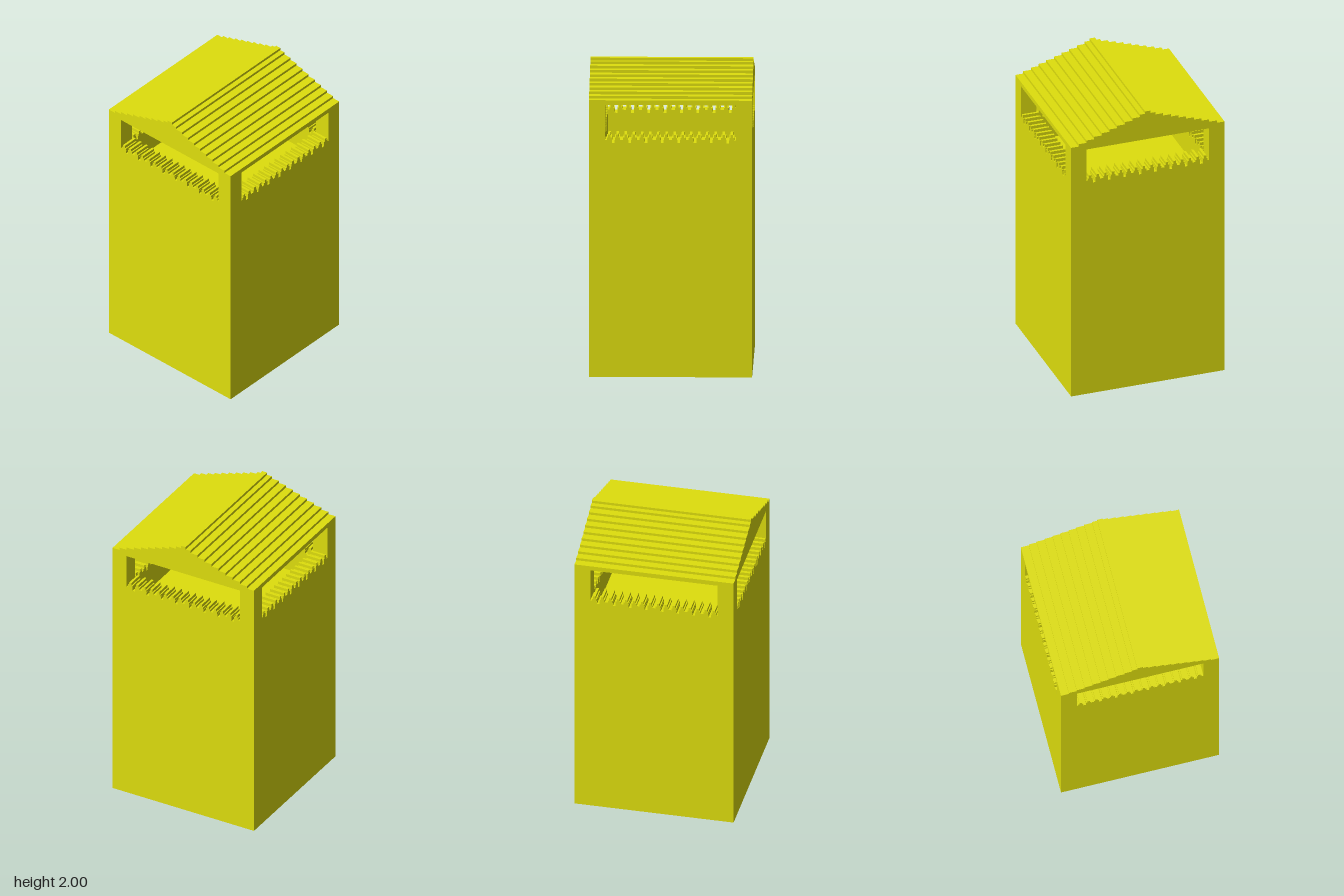
import * as THREE from 'three';

const HALF = 0.527;        // half width of the tower
const INNER = 0.422;       // half width of the lookout room
const WALL = HALF - INNER; // wall and post thickness
const FLOOR = 1.385, SILL = 1.565, CEILING = 1.795;

const material = new THREE.MeshStandardMaterial({ color: 0xdfdf0d, flatShading: true });

function addMesh(parent, name, geometry, x = 0, y = 0, z = 0) {
  const mesh = new THREE.Mesh(geometry, material);
  mesh.name = name;
  mesh.position.set(x, y, z);
  parent.add(mesh);
  return mesh;
}

function extrude(points, depth) {
  const shape = new THREE.Shape(points.map(([x, y]) => new THREE.Vector2(x, y)));
  const geometry = new THREE.ExtrudeGeometry(shape, { depth, bevelEnabled: false });
  return geometry.translate(0, 0, -depth / 2);
}

// Parapet with a rough top: narrow spikes on small shoulders, a notch in every second gap
function parapetGeometry() {
  const pitch = INNER / 8;
  const points = [[INNER, FLOOR], [INNER, SILL]];
  for (let i = 15; i >= 0; i--) {
    const x = -INNER + (i + 0.5) * pitch;
    points.push(
      [x + 0.016, SILL], [x + 0.016, 1.58], [x + 0.008, 1.58], [x + 0.008, 1.6],
      [x - 0.008, 1.6], [x - 0.008, 1.58], [x - 0.016, 1.58], [x - 0.016, SILL]);
    if (i % 2) {
      const n = x - pitch / 2;
      points.push([n + 0.009, SILL], [n + 0.009, 1.545], [n - 0.009, 1.545], [n - 0.009, SILL]);
    }
  }
  points.push([-INNER, SILL], [-INNER, FLOOR]);
  return extrude(points, WALL);
}

// Stepped gable roof with a narrow ridge
function roofGeometry() {
  const right = [[HALF, CEILING]];
  const tread = HALF / 10, rise = 0.0174, eave = 1.826;
  for (let i = 0; i < 10; i++) {
    const y = eave + i * rise;
    right.push([HALF - i * tread, y], [i < 9 ? HALF - (i + 1) * tread : 0.018, y]);
  }
  right.push([0.018, 2]);
  const left = right.map(([x, y]) => [-x, y]).reverse();
  return extrude([...right, ...left], 2 * HALF);
}

export function createModel() {
  const model = new THREE.Group();
  model.name = 'watchtower';

  // Tall square shaft, its top is the floor of the room
  addMesh(model, 'shaft', new THREE.BoxGeometry(2 * HALF, FLOOR, 2 * HALF), 0, FLOOR / 2, 0);

  // Corner posts
  const post = new THREE.BoxGeometry(WALL, CEILING - FLOOR, WALL);
  const mid = (HALF + INNER) / 2;
  for (const x of [-1, 1]) {
    for (const z of [-1, 1]) {
      addMesh(model, 'cornerPost', post, x * mid, (CEILING + FLOOR) / 2, z * mid);
    }
  }

  // Parapets below the four openings
  const parapet = parapetGeometry();
  addMesh(model, 'frontParapet', parapet, 0, 0, mid);
  addMesh(model, 'backParapet', parapet, 0, 0, -mid);
  addMesh(model, 'leftParapet', parapet, mid, 0, 0).rotation.y = Math.PI / 2;
  addMesh(model, 'rightParapet', parapet, -mid, 0, 0).rotation.y = Math.PI / 2;

  addMesh(model, 'roof', roofGeometry());
  return model;
}
